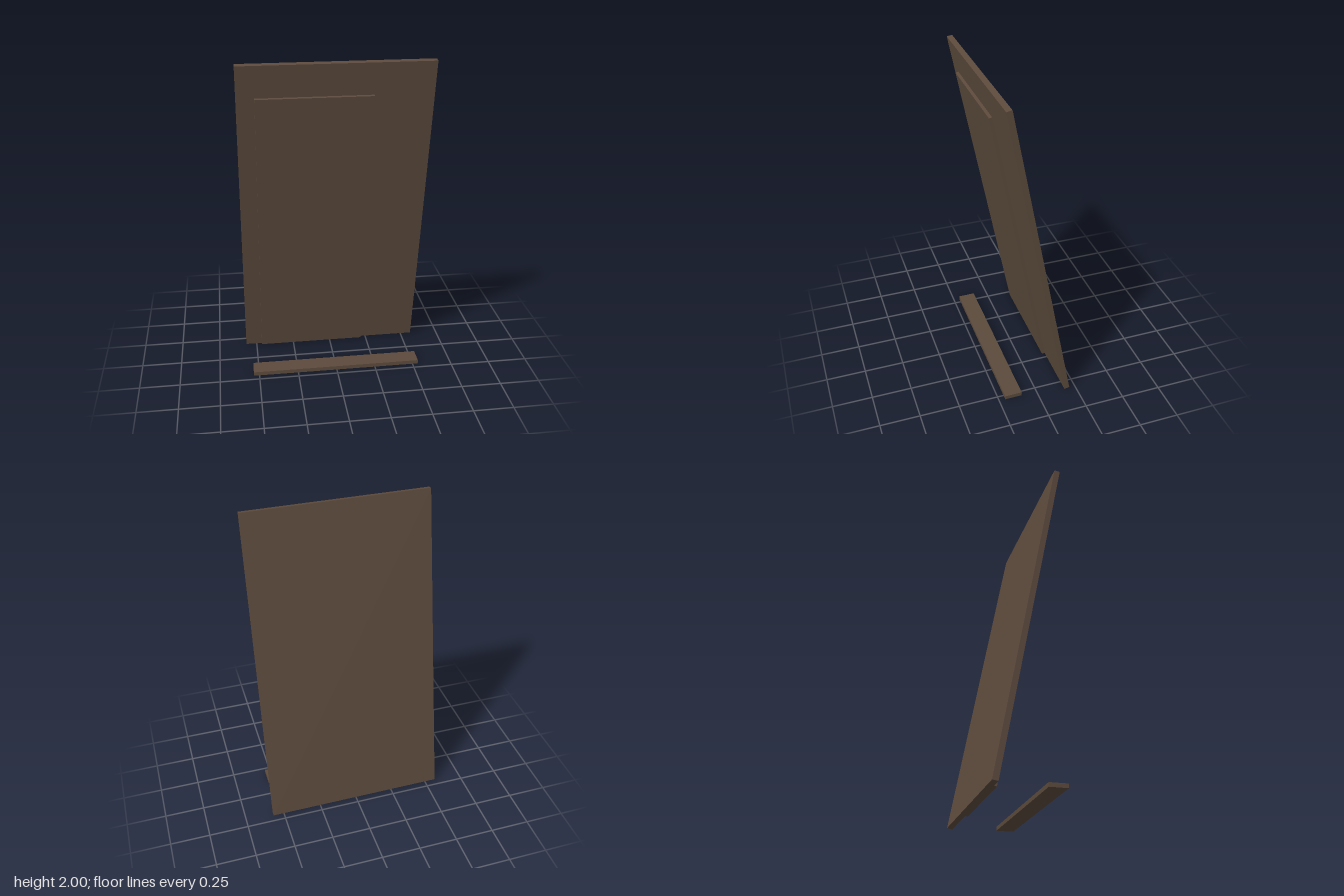
import * as THREE from 'three';

const TILT = 0.192;       // forward lean of the board
const HEIGHT = 2.031;     // board length along its slope
const THICK = 0.034;

export function createModel() {
  const model = new THREE.Group();
  model.name = 'leaningPanel';
  const wood = new THREE.MeshStandardMaterial({ color: 0x5c4a3c });

  // Box given by its [min, max] extents on each axis
  const slab = (name, parent, [x0, x1], [y0, y1], [z0, z1]) => {
    const mesh = new THREE.Mesh(new THREE.BoxGeometry(x1 - x0, y1 - y0, z1 - z0), wood);
    mesh.position.set((x0 + x1) / 2, (y0 + y1) / 2, (z0 + z1) / 2);
    mesh.name = name;
    parent.add(mesh);
  };

  // Leaning board with a raised, off-centre panel on its front face
  const board = new THREE.Group();
  board.name = 'leaningBoard';
  board.position.y = 1;
  board.rotation.x = TILT;
  model.add(board);
  slab('backBoard', board, [-0.57, 0.57], [-HEIGHT / 2, HEIGHT / 2], [-THICK / 2, THICK / 2]);
  slab('raisedPanel', board, [-0.465, 0.217], [-1.01, 0.82], [THICK / 2, THICK / 2 + 0.019]);

  // Separate low strip on the ground in front
  slab('floorStrip', model, [-0.535, 0.535], [0, 0.025], [0.1, 0.21]);

  return model;
}
